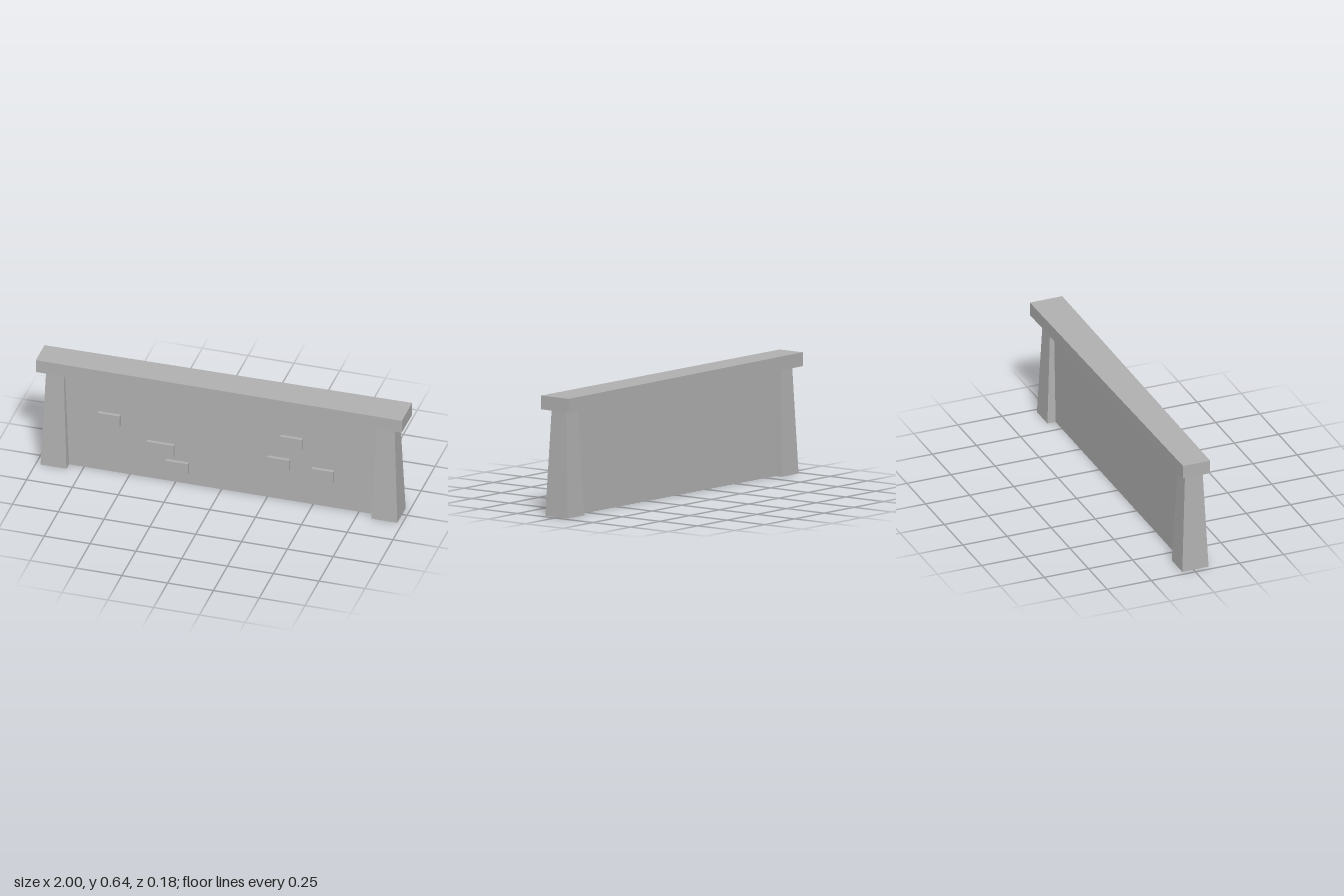
import * as THREE from 'three';

const stone = new THREE.MeshStandardMaterial({ color: 0xb0b0b0, side: THREE.DoubleSide });
stone.name = 'grey stone';

const MID_Z = 0.0115; // centre line of wall and pillars
const CAP_BOTTOM = 0.565;

function addPart(group, name, geometry, x, y, z) {
  const mesh = new THREE.Mesh(geometry, stone);
  mesh.name = name;
  mesh.position.set(x, y, z);
  group.add(mesh);
}

// Box without its top and bottom faces, optionally narrowed towards the top
function openBox(w, h, d, topW = w, topD = d) {
  const geo = new THREE.BoxGeometry(w, h, d);
  const index = Array.from(geo.index.array);
  geo.setIndex([...index.slice(0, 12), ...index.slice(24)]);
  geo.clearGroups();
  const p = geo.attributes.position;
  for (let i = 0; i < p.count; i++) {
    if (p.getY(i) > 0) {
      p.setX(i, Math.sign(p.getX(i)) * topW / 2);
      p.setZ(i, Math.sign(p.getZ(i)) * topD / 2);
    }
  }
  geo.computeVertexNormals();
  return geo;
}

export function createModel() {
  const model = new THREE.Group();
  model.name = 'stoneWall';

  // Wall panel, its ends buried in the pillars
  addPart(model, 'wallPanel', openBox(1.74, CAP_BOTTOM, 0.056), 0, CAP_BOTTOM / 2, MID_Z);

  // Tapered end pillars
  for (const [side, name] of [[1, 'leftPillar'], [-1, 'rightPillar']]) {
    addPart(model, name, openBox(0.141, CAP_BOTTOM, 0.149, 0.096, 0.099),
      side * 0.903, CAP_BOTTOM / 2, MID_Z);
  }

  // Coping slab, slightly narrower at the right end
  const cap = new THREE.BoxGeometry(2, 0.073, 0.184);
  const p = cap.attributes.position;
  for (let i = 0; i < p.count; i++) {
    if (p.getX(i) < 0) p.setZ(i, p.getZ(i) > 0 ? 0.084 : -0.07);
  }
  cap.computeVertexNormals();
  addPart(model, 'copingSlab', cap, 0, CAP_BOTTOM + 0.0365, 0);

  // Raised bricks on the front: centre x, centre y, width, height
  const bricks = [
    [-0.61, 0.325, 0.12, 0.066],
    [-0.33, 0.192, 0.146, 0.076],
    [-0.24, 0.099, 0.124, 0.066],
    [0.314, 0.223, 0.12, 0.066],
    [0.384, 0.363, 0.12, 0.066],
    [0.555, 0.196, 0.12, 0.066],
  ];
  bricks.forEach(([x, y, w, h], i) => {
    addPart(model, `brick${i + 1}`, new THREE.BoxGeometry(w, h, 0.03), x, y, 0.043);
  });

  return model;
}
